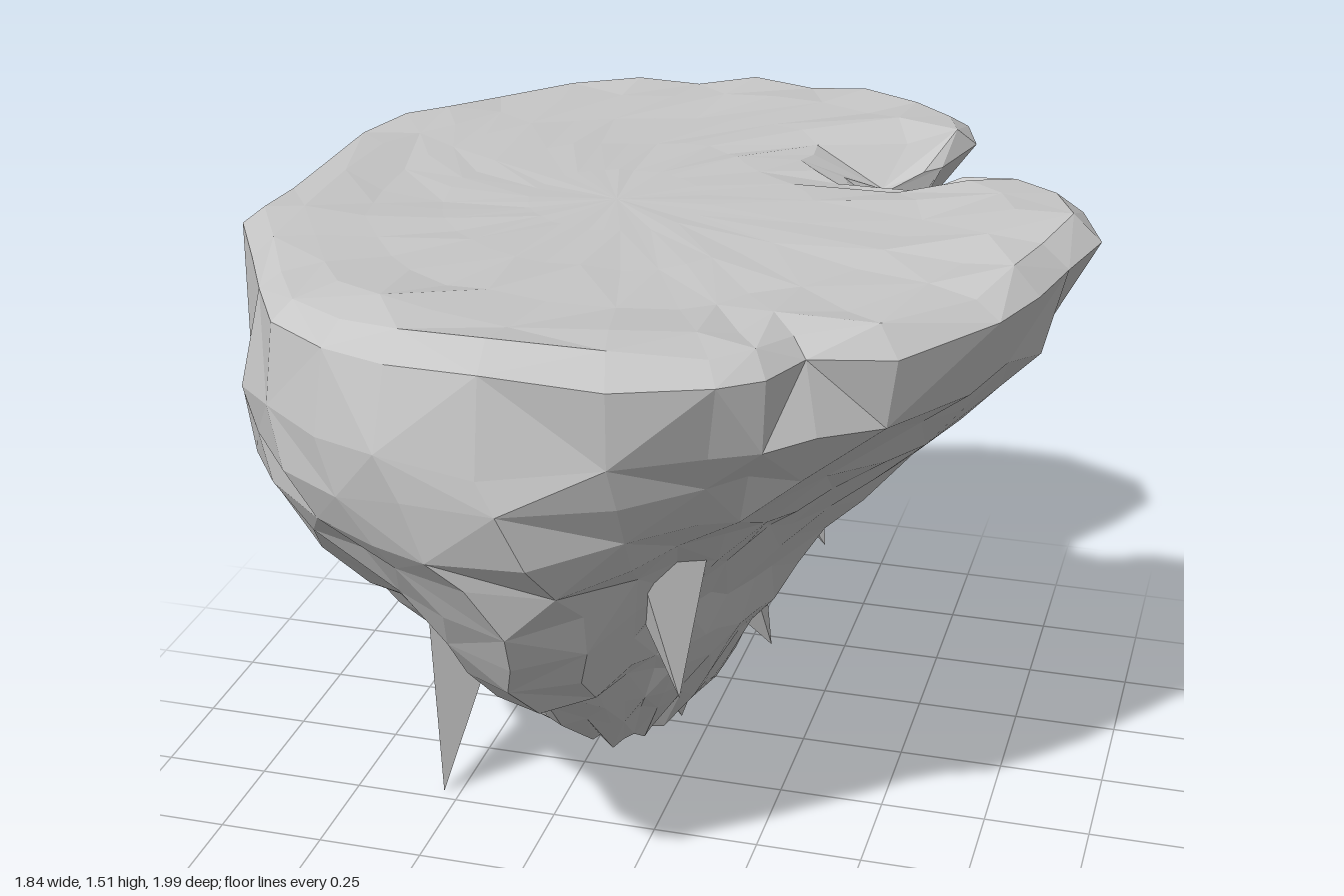
import * as THREE from 'three';

// plan of the rim as [x, z], running from +x round through +z
const RIM = [
  [0.87, 0.07], [0.83, 0.22], [0.77, 0.36], [0.6, 0.57], [0.43, 0.65], [0.38, 0.78], [0.3, 0.86],
  [0.1, 0.93], [-0.15, 0.95], [-0.35, 0.93], [-0.5, 0.88], [-0.64, 0.8], [-0.73, 0.65], [-0.82, 0.48],
  [-0.92, 0.3], [-0.915, 0.14], [-0.91, 0], [-0.9, -0.28], [-0.84, -0.43], [-0.76, -0.52], [-0.67, -0.68],
  [-0.52, -0.84], [-0.35, -0.9], [-0.2, -0.95], [-0.05, -0.98], [0.1, -1], [0.25, -0.98], [0.4, -0.92],
  [0.5, -0.85], [0.54, -0.73], [0.48, -0.6], [0.37, -0.5], [0.42, -0.4], [0.5, -0.35], [0.62, -0.35],
  [0.75, -0.33], [0.86, -0.23], [0.92, -0.08],
];
const CX = -0.15;

// underside: height, then radius every 30 degrees from +x through +z
const SECTIONS = [
  [1.25, 0.98, 0.9, 0.92, 1.0, 0.96, 0.83, 0.74, 0.77, 0.81, 0.86, 0.88, 0.64],
  [1.05, 0.8, 0.72, 0.77, 0.99, 0.94, 0.84, 0.71, 0.72, 0.7, 0.68, 0.6, 0.46],
  [0.85, 0.6, 0.5, 0.55, 0.9, 0.79, 0.75, 0.62, 0.63, 0.55, 0.5, 0.4, 0.36],
  [0.65, 0.44, 0.38, 0.41, 0.8, 0.56, 0.6, 0.54, 0.52, 0.42, 0.35, 0.31, 0.3],
  [0.54, 0.38, 0.35, 0.37, 0.7, 0.44, 0.54, 0.5, 0.45, 0.36, 0.3, 0.28, 0.27],
  [0.47, 0.33, 0.32, 0.34, 0.46, 0.39, 0.47, 0.46, 0.4, 0.32, 0.25, 0.24, 0.25],
  [0.3, 0.24, 0.22, 0.24, 0.31, 0.3, 0.31, 0.29, 0.24, 0.17, 0.11, 0.12, 0.17],
  [0.18, 0.13, 0.13, 0.15, 0.18, 0.14, 0.1, 0.08, 0.06, 0.04, 0.02, 0.04, 0.08],
];

// seeded random in -1..1
function makeRandom(seed) {
  return () => {
    seed = (seed * 16807) % 2147483647;
    return (seed / 2147483647) * 2 - 1;
  };
}

// smooth periodic radius of a section at angle a
function radiusAt(section, a) {
  const f = (((a / (Math.PI * 2)) % 1) + 1) % 1 * 12;
  const k = Math.floor(f) % 12;
  let t = f - Math.floor(f);
  t = t * t * (3 - 2 * t);
  return section[1 + k] * (1 - t) + section[1 + ((k + 1) % 12)] * t;
}

// relief of the top: a dip at the notch, a bump on the side lobe, a lower front right
function relief(x, z) {
  const hill = (cx, cz, w) => Math.exp(-((x - cx) ** 2 + (z - cz) ** 2) / w);
  return 0.035 * hill(0.76, -0.1, 0.03) - 0.15 * hill(0.4, -0.45, 0.02) - 0.04 * hill(0.6, 0.6, 0.2);
}

function rockGeometry() {
  const rnd = makeRandom(77);
  const n = RIM.length;
  const rings = [];
  const even = RIM.map((_, i) => ((i + 0.5) / n) * Math.PI * 2);

  // top from the middle outwards, turning from circles into the rim plan
  const TOP = [[0, 1.48, 0], [0.25, 1.48, 0.002], [0.5, 1.48, 0.005], [0.7, 1.482, 0.007], [0.84, 1.49, 0.01], [0.94, 1.49, 0.014], [1, 1.44, 0.015]];
  for (const [s, y, j] of TOP) {
    rings.push(RIM.map(([x, z], i) => {
      const w = Math.min(1, s * s * 1.3);
      const px = CX + s * ((x - CX) * w + 0.8 * Math.cos(even[i]) * (1 - w));
      const pz = s * (z * w + 0.8 * Math.sin(even[i]) * (1 - w));
      return [px, y + rnd() * j + relief(px, pz), pz];
    }));
  }

  // underside, with one extra ring between sections where they are far apart
  const angles = RIM.map(([x, z], i) => {
    const a = Math.atan2(z, x - CX);
    return a < 0 && i > n / 4 ? a + Math.PI * 2 : a;
  });
  SECTIONS.forEach((sec, k) => {
    const next = SECTIONS[k + 1];
    const steps = next && sec[0] - next[0] > 0.15 ? 2 : 1;
    for (let s = 0; s < steps; s++) {
      const mix = s / steps;
      const y0 = next ? sec[0] * (1 - mix) + next[0] * mix : sec[0];
      // columns spread out evenly further down
      const spread = Math.min(1, (1.25 - y0) / 0.4);
      rings.push(angles.map((rimAngle, i) => {
        const a = rimAngle * (1 - spread) + even[i] * spread + rnd() * 0.03 * spread;
        const r0 = radiusAt(sec, a);
        const r = (next ? r0 * (1 - mix) + radiusAt(next, a) * mix : r0) * (1 + rnd() * 0.02);
        return [CX + Math.cos(a) * r, y0 + rnd() * 0.02, Math.sin(a) * r];
      }));
    }
  });
  rings.push(RIM.map(() => [CX - 0.03, 0.15, 0.06]));

  const pos = [];
  for (let j = 0; j < rings.length - 1; j++) {
    for (let i = 0; i < n; i++) {
      const m = (i + 1) % n;
      const a = rings[j][i], b = rings[j][m], c = rings[j + 1][i], d = rings[j + 1][m];
      if ((i + j) % 2) pos.push(...a, ...b, ...c, ...b, ...d, ...c);
      else pos.push(...a, ...b, ...d, ...a, ...d, ...c);
    }
  }
  const g = new THREE.BufferGeometry();
  g.setAttribute('position', new THREE.Float32BufferAttribute(pos, 3));
  g.computeVertexNormals();
  return g;
}

// jagged shard pointing from base to tip
function shard(name, tip, base, radius, material) {
  const t = new THREE.Vector3(...tip), b = new THREE.Vector3(...base);
  const dir = t.clone().sub(b);
  const len = dir.length();
  const g = new THREE.ConeGeometry(radius, len, 4);
  g.translate(0, len / 2, 0);
  const mesh = new THREE.Mesh(g, material);
  mesh.name = name;
  mesh.position.copy(b);
  mesh.quaternion.setFromUnitVectors(new THREE.Vector3(0, 1, 0), dir.normalize());
  return mesh;
}

export function createModel() {
  const group = new THREE.Group();
  group.name = 'floatingRock';
  const stone = new THREE.MeshStandardMaterial({ color: 0xc6c6c6, flatShading: true });
  stone.name = 'grey stone';

  const rock = new THREE.Mesh(rockGeometry(), stone);
  rock.name = 'rockBody';
  group.add(rock);

  // hanging shards: name, tip, base, radius
  const shards = [
    ['longShard', [-0.54, 0, 0.22], [-0.48, 0.55, 0.18], 0.13],
    ['rightShard', [0.34, 0.67, -0.02], [0.22, 0.95, -0.02], 0.11],
    ['lowerRightShard', [0.2, 0.35, -0.09], [0.1, 0.6, -0.05], 0.1],
    ['backShard', [-0.62, 0.73, -0.48], [-0.48, 0.93, -0.34], 0.13],
    ['smallBackShard', [-0.59, 0.54, -0.23], [-0.47, 0.67, -0.17], 0.08],
    ['frontShard', [0.13, 0.52, 0.5], [0.06, 0.88, 0.42], 0.13],
    ['bottomShard', [0, 0.17, 0], [-0.03, 0.38, 0.03], 0.11],
  ];
  for (const [name, tip, base, r] of shards) group.add(shard(name, tip, base, r, stone));
  return group;
}
